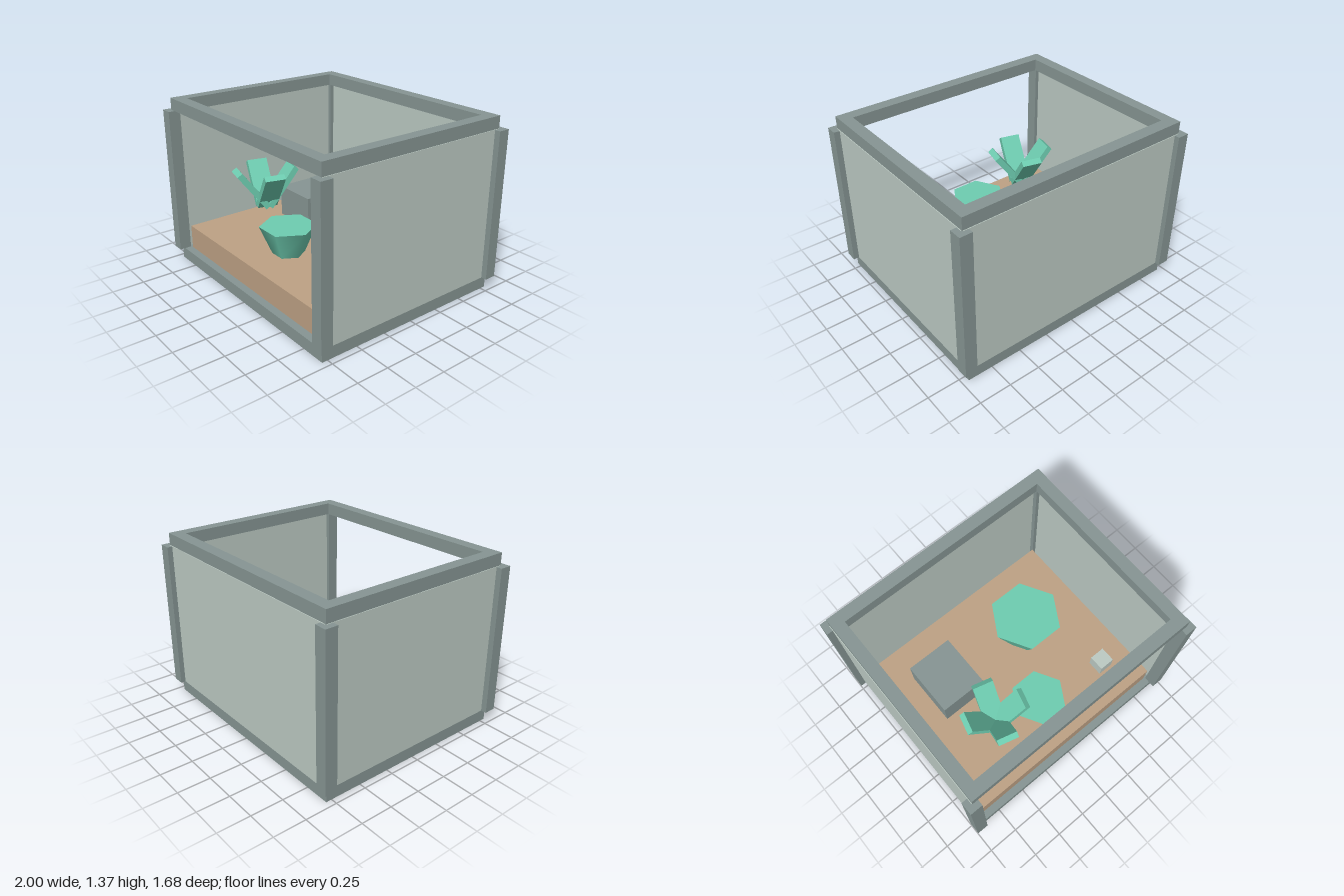
import * as THREE from 'three';

export function createModel() {
  const group = new THREE.Group();
  const paint = (name, color) => {
    const m = new THREE.MeshStandardMaterial({ color });
    m.name = name;
    return m;
  };
  const frameGrey = paint('frameGrey', 0x869593);
  const paleGlass = paint('paleGlass', 0xbccac3);
  const soilBrown = paint('soilBrown', 0xbda184);
  const leafGreen = paint('leafGreen', 0x6eccb0);

  const add = (name, geometry, material, x = 0, y = 0, z = 0, parent = group) => {
    const mesh = new THREE.Mesh(geometry, material);
    mesh.name = name;
    mesh.position.set(x, y, z);
    parent.add(mesh);
    return mesh;
  };
  // Box given by its size, centre in x and z, and bottom height
  const box = (name, material, w, h, d, x, y, z) =>
    add(name, new THREE.BoxGeometry(w, h, d), material, x, y + h / 2, z);

  // Solid base and open top frame
  box('base', frameGrey, 1.9, 0.096, 1.59, 0, 0, 0);
  const rectangle = (target, x, y) => {
    target.moveTo(-x, -y).lineTo(x, -y).lineTo(x, y).lineTo(-x, y).closePath();
    return target;
  };
  const rim = rectangle(new THREE.Shape(), 0.95, 0.795);
  rim.holes.push(rectangle(new THREE.Path(), 0.858, 0.7));
  const rimGeometry = new THREE.ExtrudeGeometry(rim, { depth: 0.095, bevelEnabled: false });
  rimGeometry.rotateX(-Math.PI / 2);
  add('topFrame', rimGeometry, frameGrey, 0, 1.274, 0);

  // Corner posts and side panels
  for (const sx of [-1, 1]) {
    for (const sz of [-1, 1]) {
      box('cornerPost', frameGrey, 0.095, 1.174, 0.095, sx * 0.9525, 0.098, sz * 0.7925);
    }
    box('sidePanel', paleGlass, 0.02, 1.177, 1.58, sx * 0.945, 0.097, 0);
  }
  box('backPanel', paleGlass, 1.89, 1.177, 0.02, 0, 0.097, -0.79);

  // Soil, rock and pebble
  box('soil', soilBrown, 1.78, 0.194, 1.47, 0, 0.096, 0);
  box('rock', frameGrey, 0.38, 0.255, 0.445, -0.445, 0.29, -0.222);
  box('pebble', paleGlass, 0.125, 0.125, 0.125, 0.632, 0.29, 0.438);

  // Six-sided flaring plants
  const flaringPlant = (name, top, bottom, height, x, z) => {
    const geometry = new THREE.CylinderGeometry(top, bottom, height, 6);
    geometry.rotateY(Math.PI / 6);
    add(name, geometry, leafGreen, x, 0.29 + height / 2, z);
  };
  flaringPlant('largePlant', 0.285, 0.14, 0.41, 0.315, -0.16);
  flaringPlant('smallPlant', 0.22, 0.125, 0.223, 0, 0.378);

  // Rosette of four leaning leaves
  const rosette = new THREE.Group();
  rosette.name = 'leafRosette';
  rosette.position.set(-0.385, 0, 0.315);
  group.add(rosette);
  for (let i = 0; i < 4; i++) {
    const arm = new THREE.Group();
    arm.name = 'leafArm';
    arm.rotation.y = -0.26 + (i * Math.PI) / 2;
    rosette.add(arm);
    const leaf = add('leaf', new THREE.BoxGeometry(0.048, 0.37, 0.16), leafGreen, 0.118, 0.693, 0, arm);
    leaf.rotation.z = -0.646;
  }

  return group;
}
